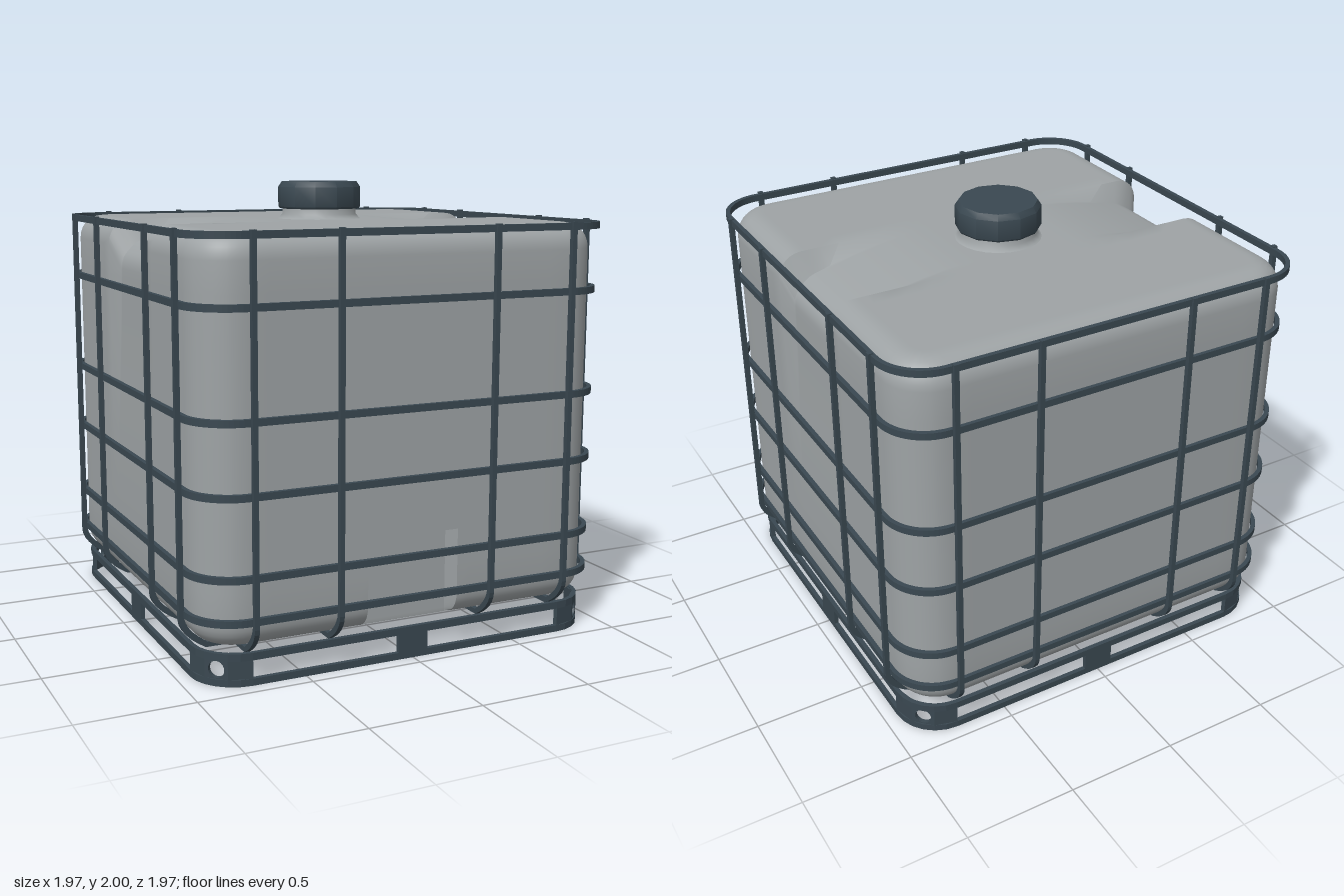
import * as THREE from 'three';
import { mergeVertices, toCreasedNormals } from 'three/addons/utils/BufferGeometryUtils.js';

const plastic = new THREE.MeshStandardMaterial({ color: 0x9ea3a5 });
plastic.name = 'grey plastic';
const steel = new THREE.MeshStandardMaterial({ color: 0x3a4851 });
steel.name = 'dark steel';

const clamp = THREE.MathUtils.clamp;
const smooth = THREE.MathUtils.smoothstep;

function add(parent, name, geometry, material, x = 0, y = 0, z = 0) {
  const mesh = new THREE.Mesh(geometry, material);
  mesh.name = name;
  mesh.position.set(x, y, z);
  parent.add(mesh);
  return mesh;
}

// Rounded square outline of half size h and corner radius r
function roundedSquare(PathType, h, r) {
  const p = new PathType();
  const c = h - r;
  p.moveTo(h, -c);
  p.lineTo(h, c);
  p.absarc(c, c, r, 0, Math.PI / 2);
  p.lineTo(-c, h);
  p.absarc(-c, c, r, Math.PI / 2, Math.PI);
  p.lineTo(-h, -c);
  p.absarc(-c, -c, r, Math.PI, Math.PI * 1.5);
  p.lineTo(c, -h);
  p.absarc(c, -c, r, Math.PI * 1.5, Math.PI * 2);
  return p;
}

// Flat horizontal band, standing from y = 0 to y = height
function band(h, thickness, r, height, curveSegments) {
  const shape = roundedSquare(THREE.Shape, h, r);
  shape.holes.push(roundedSquare(THREE.Path, h - thickness, r - thickness));
  const g = new THREE.ExtrudeGeometry(shape, { depth: height, bevelEnabled: false, curveSegments });
  return g.rotateX(-Math.PI / 2);
}

// Tank: a box grid rounded by rule, with a cross channel and a valve pocket
function tankGeometry() {
  const half = [0, 0.07, 0.14, 0.2, 0.215, 0.27, 0.35, 0.45, 0.55, 0.65, 0.74, 0.775, 0.81, 0.83, 0.86, 0.89, 0.915, 0.94];
  const halfY = [0, 0.15, 0.3, 0.445, 0.46, 0.6, 0.7325, 0.76, 0.79, 0.815, 0.8425];
  const n = half.length - 1, m = halfY.length - 1;
  const pick = (table, v) => Math.sign(v) * table[Math.round(Math.abs(v))];
  const h = 0.94, hy = 0.8425, R = 0.2, e = 0.11, core = h - R;

  let g = new THREE.BoxGeometry(2 * n, 2 * m, 2 * n, 2 * n, 2 * m, 2 * n);
  const pos = g.attributes.position;
  for (let i = 0; i < pos.count; i++) {
    let x = pick(half, pos.getX(i)), y = pick(halfY, pos.getY(i)), z = pick(half, pos.getZ(i));
    const pocket = z > 0.5 && Math.abs(x) <= 0.205 && y <= -0.455;

    // Round the top and bottom edges
    let s = h - Math.max(Math.abs(x), Math.abs(z));
    const a = Math.max(0, e - s), b = Math.max(0, Math.abs(y) - (hy - e));
    if (a > 0 && b > 0) {
      const f = Math.max(a, b) / Math.hypot(a, b);
      s = e - a * f;
      y = Math.sign(y) * (hy - e + b * f);
    }
    // Round the upright corners
    const dx = Math.max(0, Math.abs(x) - core), dz = Math.max(0, Math.abs(z) - core);
    const len = Math.hypot(dx, dz);
    if (len > 0) {
      x = Math.sign(x) * (Math.min(Math.abs(x), core) + dx / len * (R - s));
      z = Math.sign(z) * (Math.min(Math.abs(z), core) + dz / len * (R - s));
    }
    y += 0.9875;

    // Channel over the top, deepening to the sides and running down them
    const k = clamp((0.27 - Math.abs(z)) / 0.055, 0, 1);
    const drop = 0.11 * Math.pow(clamp((Math.abs(x) - 0.3) / 0.6, 0, 1), 1.4);
    const inset = 0.04 * smooth(y, 0.5, 1.7) * clamp((Math.abs(x) - 0.6) / 0.3, 0, 1);
    y -= k * drop * clamp((y - 1.55) / 0.17, 0, 1);
    x -= Math.sign(x) * k * inset;

    if (pocket) z = Math.min(z, 0.86);
    pos.setXYZ(i, x, y, z);
  }
  g.deleteAttribute('uv');
  g.deleteAttribute('normal');
  g = mergeVertices(g, 1e-5);
  return toCreasedNormals(g, 0.8);
}

// U-shaped cage wire running down one side, under the tank and up the other
function wireGeometry() {
  const s = new THREE.Shape();
  s.moveTo(-0.985, 1.84);
  s.lineTo(-0.985, 0.25);
  s.quadraticCurveTo(-0.98, 0.18, -0.87, 0.12);
  s.lineTo(0.87, 0.12);
  s.quadraticCurveTo(0.98, 0.18, 0.985, 0.25);
  s.lineTo(0.985, 1.84);
  s.lineTo(0.963, 1.84);
  s.lineTo(0.963, 0.26);
  s.quadraticCurveTo(0.955, 0.2, 0.865, 0.142);
  s.lineTo(-0.865, 0.142);
  s.quadraticCurveTo(-0.955, 0.2, -0.963, 0.26);
  s.lineTo(-0.963, 1.84);
  const g = new THREE.ExtrudeGeometry(s, { depth: 0.022, bevelEnabled: false, curveSegments: 6 });
  return g.translate(0, 0, -0.011);
}

// Upright plate of the pallet, optionally with a round hole
function plateGeometry(width, hole) {
  const w = width / 2;
  const s = new THREE.Shape([[-w, 0], [w, 0], [w, 0.135], [-w, 0.135]].map(p => new THREE.Vector2(...p)));
  if (hole) s.holes.push(new THREE.Path().absarc(0, 0.07, 0.036, 0, Math.PI * 2, true));
  const g = new THREE.ExtrudeGeometry(s, { depth: 0.02, bevelEnabled: false, curveSegments: 10 });
  return g.translate(0, 0, -0.02);
}

export function createModel() {
  const model = new THREE.Group();
  model.name = 'caged liquid tank';

  add(model, 'tank', tankGeometry(), plastic, 0, 0, -0.008);

  // Filler neck and screw cap
  const v = (x, y) => new THREE.Vector2(x, y);
  const neck = new THREE.LatheGeometry([v(0.23, 1.815), v(0.19, 1.832), v(0.172, 1.85), v(0.17, 1.89)], 24);
  add(model, 'fillerNeck', neck, plastic, 0, 0, -0.015);
  const cap = new THREE.LatheGeometry([v(0, 1.876), v(0.185, 1.876), v(0.192, 1.885), v(0.192, 1.975), v(0.175, 2), v(0, 2)], 12);
  add(model, 'cap', toCreasedNormals(cap, 0.7), steel, 0, 0, -0.015);

  // Cage
  const cage = new THREE.Group();
  cage.name = 'cage';
  model.add(cage);
  for (const y of [0.275, 0.455, 0.79, 1.09, 1.54, 1.82]) {
    const top = y > 1.8;
    add(cage, 'cageBand', band(top ? 0.975 : 0.965, 0.02, 0.21, 0.03, 8), steel, 0, y - 0.015, 0);
  }
  const wire = wireGeometry();
  for (const p of [-0.737, -0.36, 0.36, 0.737]) {
    add(cage, 'crossWire', wire, steel, 0, 0, p);
    add(cage, 'lengthWire', wire, steel, p, 0, 0).rotation.y = Math.PI / 2;
  }

  // Pallet frame: two rails joined by plates
  const pallet = new THREE.Group();
  pallet.name = 'pallet';
  model.add(pallet);
  const H = 0.938, r = 0.2;
  add(pallet, 'lowerRail', band(H, 0.02, r, 0.03, 3), steel);
  add(pallet, 'upperRail', band(H, 0.02, r, 0.032, 3), steel, 0, 0.108, 0);
  const facet = 2 * r * Math.sin(Math.PI / 12), reach = r * Math.cos(Math.PI / 12);
  const middle = plateGeometry(0.14, false);
  const sidePlate = plateGeometry(facet, false), holedPlate = plateGeometry(facet, true);
  for (let i = 0; i < 4; i++) {
    const side = new THREE.Group();
    side.name = 'palletSide';
    side.rotation.y = i * Math.PI / 2;
    pallet.add(side);
    add(side, 'middlePlate', middle, steel, 0, 0, H);
    for (const deg of [15, 45, 75]) {
      const t = THREE.MathUtils.degToRad(deg);
      const plate = add(side, 'cornerPlate', deg === 45 ? holedPlate : sidePlate, steel,
        H - r + Math.sin(t) * reach, 0, H - r + Math.cos(t) * reach);
      plate.rotation.y = t;
    }
  }
  return model;
}
